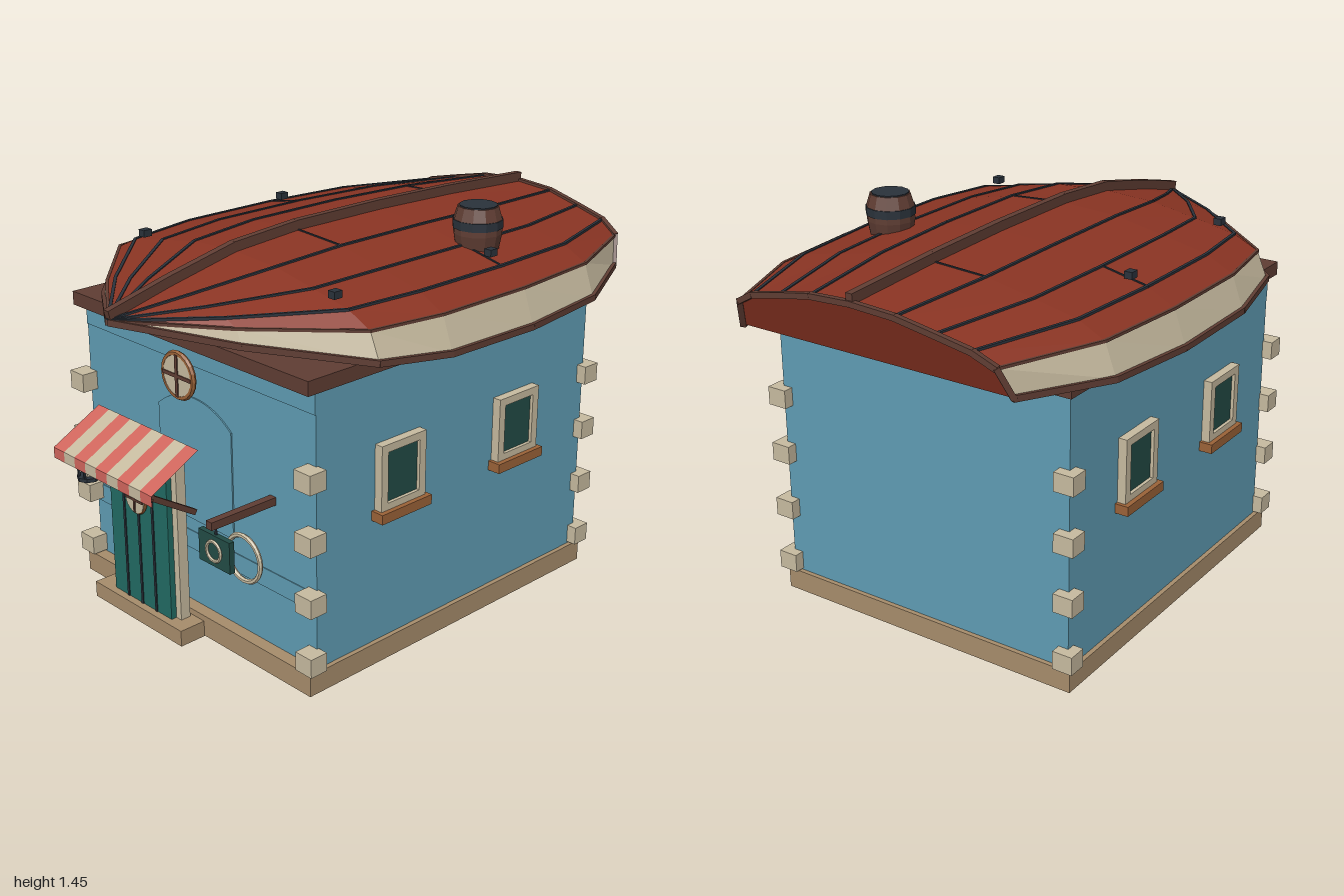
import * as THREE from 'three';

const mat = (name, color, side = THREE.FrontSide) => {
  const m = new THREE.MeshStandardMaterial({ color, side, flatShading: true });
  m.name = name;
  return m;
};
const M = {
  wall: mat('wall blue', 0x5f9cb3),
  red: mat('hull red', 0x8a3423, THREE.DoubleSide),
  cream: mat('cream', 0xc6ba9f, THREE.DoubleSide),
  tan: mat('stone tan', 0xa68c6b),
  brown: mat('dark wood', 0x5f3d33),
  orange: mat('light wood', 0x9a6238),
  teal: mat('door teal', 0x216a62),
  deep: mat('deep green', 0x224b45),
  salmon: mat('awning red', 0xcf655c, THREE.DoubleSide),
  slate: mat('slate', 0x2a323b),
};

function mesh(parent, name, geo, material, x = 0, y = 0, z = 0) {
  const m = new THREE.Mesh(geo, material);
  m.name = name;
  m.position.set(x, y, z);
  parent.add(m);
  return m;
}
// Box given by its extents on each axis
function box(parent, name, material, [x0, x1], [y0, y1], [z0, z1]) {
  return mesh(parent, name, new THREE.BoxGeometry(x1 - x0, y1 - y0, z1 - z0), material,
    (x0 + x1) / 2, (y0 + y1) / 2, (z0 + z1) / 2);
}
// Bar running from a to b
function beam(parent, name, material, a, b, w, h) {
  const m = mesh(parent, name, new THREE.BoxGeometry(w, h, a.distanceTo(b) + w * 0.3), material);
  m.position.copy(a).lerp(b, 0.5);
  m.lookAt(b);
  return m;
}
const V = (x, y, z) => new THREE.Vector3(x, y, z);

// Hull stations: z, half width, crown height, chine height, rim height
const STATIONS = [
  [-0.97, 0.545, 1.335, 1.225, 1.125], [-0.58, 0.7, 1.355, 1.225, 1.11],
  [-0.21, 0.735, 1.365, 1.225, 1.1], [0.19, 0.735, 1.365, 1.225, 1.105],
  [0.47, 0.685, 1.345, 1.225, 1.13], [0.75, 0.36, 1.285, 1.222, 1.17],
  [0.99, 0.004, 1.225, 1.222, 1.218],
];
const ACROSS = [0, 0.305, 0.565, 0.8, 0.94, 1];
const DROP = [0, 0.09, 0.36, 0.62, 1];

// Point of station k on row j, j from -5 (right rim) to 5 (left rim)
function hullPoint(k, j) {
  const [z, w, crown, chine, rim] = STATIONS[k], i = Math.abs(j);
  const y = i === 5 ? rim : crown + (chine - crown) * DROP[i];
  return V(Math.sign(j) * ACROSS[i] * w, y, k === 0 ? -0.99 + (1.335 - y) * 0.4 : z);
}
function hullSkin(j0, j1, flip = false) {
  const pos = [];
  const tri = (a, b, c) => (flip ? [a, c, b] : [a, b, c]).forEach(p => pos.push(p.x, p.y, p.z));
  for (let k = 0; k < STATIONS.length - 1; k++) {
    for (let j = j0; j < j1; j++) {
      const a = hullPoint(k, j), b = hullPoint(k + 1, j), c = hullPoint(k, j + 1), d = hullPoint(k + 1, j + 1);
      tri(a, b, c);
      tri(c, b, d);
    }
  }
  return toGeometry(pos);
}
function toGeometry(pos) {
  const g = new THREE.BufferGeometry();
  g.setAttribute('position', new THREE.Float32BufferAttribute(pos, 3));
  g.computeVertexNormals();
  return g;
}

function makeRoof() {
  const g = new THREE.Group();
  g.name = 'boatRoof';
  mesh(g, 'hullPlanks', hullSkin(-4, 4), M.red);
  for (const j of [-5, 4]) mesh(g, 'gunwaleStrake', hullSkin(j, j + 1), M.cream);
  mesh(g, 'hullInside', hullSkin(-5, 5, true), M.slate, 0, -0.006, 0);
  // Flat stern board
  const pos = [];
  for (let i = 0; i < 5; i++) {
    const a = hullPoint(0, -i), b = hullPoint(0, i), c = hullPoint(0, -i - 1), d = hullPoint(0, i + 1);
    for (const p of [a, b, c, b, d, c]) pos.push(p.x, p.y, p.z);
  }
  mesh(g, 'sternBoard', toGeometry(pos), M.red);
  // Keel, plank seams and rim rails follow the rows of the hull
  for (let k = 0; k < STATIONS.length - 1; k++) {
    const up = V(0, 0.012, 0);
    beam(g, 'keel', M.brown, hullPoint(k, 0).add(up), hullPoint(k + 1, 0).add(up), 0.026, 0.045);
    for (const s of [-1, 1]) {
      for (const i of [1, 2, 3])
        beam(g, 'plankSeam', M.slate, hullPoint(k, s * i), hullPoint(k + 1, s * i), 0.011, 0.01);
      beam(g, 'chineSeam', M.brown, hullPoint(k, s * 4), hullPoint(k + 1, s * 4), 0.01, 0.01);
      beam(g, 'rimRail', M.brown, hullPoint(k, s * 5), hullPoint(k + 1, s * 5), 0.018, 0.022);
    }
  }
  for (let j = -5; j < 5; j++)
    beam(g, 'sternTrim', M.brown, hullPoint(0, j), hullPoint(0, j + 1), 0.02, 0.02);
  // Butt joints: station, first row
  for (const [k, j] of [[1, -1], [3, 0], [2, -3], [2, 2]])
    beam(g, 'buttJoint', M.slate, hullPoint(k, j), hullPoint(k, j + 1), 0.007, 0.007);
  for (const s of [-1, 1]) {
    mesh(g, 'cleat', new THREE.BoxGeometry(0.03, 0.025, 0.035), M.slate, s * 0.53, 1.312, -0.22);
    mesh(g, 'cleat', new THREE.BoxGeometry(0.03, 0.025, 0.035), M.slate, s * 0.487, 1.308, 0.47);
  }
  // Barrel chimney
  const profile = [[0.075, 1.29], [0.086, 1.35], [0.086, 1.4], [0.072, 1.445], [0, 1.445]];
  mesh(g, 'chimneyBarrel', new THREE.LatheGeometry(profile.map(p => new THREE.Vector2(...p)), 12), M.brown, 0.42, 0, -0.275);
  mesh(g, 'chimneyBand', new THREE.CylinderGeometry(0.089, 0.089, 0.03, 12), M.slate, 0.42, 1.385, -0.275);
  mesh(g, 'chimneyTop', new THREE.CylinderGeometry(0.067, 0.067, 0.006, 12), M.slate, 0.42, 1.446, -0.275);
  return g;
}

// Round window with a cross
function porthole(parent, r, x, y, z) {
  const g = new THREE.Group();
  g.name = 'roundWindow';
  g.position.set(x, y, z);
  parent.add(g);
  mesh(g, 'pane', new THREE.CylinderGeometry(r * 0.9, r * 0.9, 0.016, 20), M.cream).rotation.x = Math.PI / 2;
  mesh(g, 'ring', new THREE.TorusGeometry(r * 0.89, r * 0.12, 6, 20), M.orange);
  mesh(g, 'crossUpright', new THREE.BoxGeometry(r * 0.15, r * 1.7, 0.024), M.brown);
  mesh(g, 'crossBar', new THREE.BoxGeometry(r * 1.7, r * 0.15, 0.024), M.brown);
}

function sideWindow(z, s) {
  const g = new THREE.Group();
  g.name = 'sideWindow';
  const shape = new THREE.Shape([[-0.104, -0.13], [0.104, -0.13], [0.104, 0.13], [-0.104, 0.13]].map(p => new THREE.Vector2(...p)));
  shape.holes.push(new THREE.Path([[-0.074, -0.08], [-0.074, 0.102], [0.074, 0.102], [0.074, -0.08]].map(p => new THREE.Vector2(...p))));
  mesh(g, 'frame', new THREE.ExtrudeGeometry(shape, { depth: 0.032, bevelEnabled: false }), M.cream);
  mesh(g, 'glass', new THREE.BoxGeometry(0.15, 0.19, 0.02), M.deep, 0, 0.01, 0.01);
  mesh(g, 'sill', new THREE.BoxGeometry(0.235, 0.035, 0.05), M.orange, 0, -0.122, 0.025);
  g.position.set(s * 0.6, 0.68, z);
  g.rotation.y = s * Math.PI / 2;
  return g;
}

function makeEntrance() {
  const g = new THREE.Group();
  g.name = 'entrance';
  box(g, 'step', M.tan, [-0.43, 0.07], [0, 0.06], [0.7, 0.81]);
  box(g, 'doorPost', M.cream, [-0.37, -0.343], [0.06, 0.68], [0.72, 0.76]);
  box(g, 'doorPost', M.cream, [-0.017, 0.01], [0.06, 0.68], [0.72, 0.76]);
  box(g, 'doorHead', M.cream, [-0.37, 0.01], [0.655, 0.68], [0.72, 0.76]);
  box(g, 'door', M.teal, [-0.343, -0.017], [0.06, 0.665], [0.752, 0.782]);
  for (const x of [-0.262, -0.18, -0.1]) box(g, 'doorGroove', M.slate, [x - 0.005, x + 0.005], [0.06, 0.66], [0.78, 0.786]);
  porthole(g, 0.057, -0.18, 0.475, 0.79);
  // Striped awning: sloping cloth and a short valance
  const w = 0.56 / 9;
  for (let i = 0; i < 9; i++) {
    const x = -0.46 + w * (i + 0.5), m = i % 2 ? M.cream : M.salmon;
    mesh(g, 'awningStripe', new THREE.PlaneGeometry(w, 0.226), m, x, 0.6775, 0.83).rotation.x = -Math.atan2(0.2, 0.105);
    mesh(g, 'valanceStripe', new THREE.PlaneGeometry(w, 0.04), m, x, 0.605, 0.93);
  }
  box(g, 'awningRod', M.brown, [-0.45, 0.09], [0.607, 0.622], [0.91, 0.925]);
  for (const x of [-0.44, 0.077]) beam(g, 'awningBrace', M.brown, V(x, 0.605, 0.91), V(x, 0.5, 0.74), 0.02, 0.02);
  return g;
}

function makeLantern() {
  const g = new THREE.Group();
  g.name = 'lantern';
  g.position.set(-0.433, 0.53, 0.81);
  mesh(g, 'lamp', new THREE.CylinderGeometry(0.02, 0.02, 0.08, 8), M.cream);
  for (const y of [-0.048, 0.048]) mesh(g, 'lanternCap', new THREE.CylinderGeometry(0.042, 0.042, 0.014, 8), M.slate, 0, y, 0);
  for (let i = 0; i < 6; i++) {
    const a = i * Math.PI / 3;
    mesh(g, 'lanternPost', new THREE.BoxGeometry(0.008, 0.09, 0.008), M.slate, 0.034 * Math.cos(a), 0, 0.034 * Math.sin(a));
  }
  return g;
}

function makeSign() {
  const g = new THREE.Group();
  g.name = 'hangingSign';
  box(g, 'signArm', M.brown, [0.38, 0.408], [0.612, 0.64], [0.66, 0.93]);
  box(g, 'signHanger', M.slate, [0.391, 0.397], [0.58, 0.615], [0.899, 0.905]);
  box(g, 'signBoard', M.deep, [0.318, 0.47], [0.475, 0.585], [0.892, 0.912]);
  mesh(g, 'signRing', new THREE.TorusGeometry(0.034, 0.006, 6, 18), M.cream, 0.394, 0.53, 0.914);
  mesh(g, 'ropeRing', new THREE.TorusGeometry(0.082, 0.009, 6, 24), M.cream, 0.335, 0.42, 0.74);
  return g;
}

export function createModel() {
  const root = new THREE.Group();
  root.name = 'boatRoofHouse';
  // Walls and footing
  box(root, 'walls', M.wall, [-0.6, 0.6], [0.05, 1.07], [-0.68, 0.66]);
  box(root, 'footing', M.tan, [-0.617, 0.617], [0.003, 0.082], [-0.697, 0.707]);
  box(root, 'floorUnderside', M.wall, [-0.61, 0.61], [0, 0.004], [-0.69, 0.7]);
  box(root, 'cornice', M.brown, [-0.615, 0.615], [1.063, 1.113], [-0.7, 0.706]);
  // Raised bands and arched panel on the front wall
  box(root, 'wallBand', M.wall, [-0.6, 0.6], [0.29, 0.36], [0.655, 0.663]);
  box(root, 'wallBand', M.wall, [-0.6, 0.6], [0.985, 1.065], [0.655, 0.663]);
  const arch = new THREE.Shape();
  arch.moveTo(-0.193, 0.41);
  arch.lineTo(0.193, 0.41);
  arch.lineTo(0.193, 0.8);
  arch.quadraticCurveTo(0.11, 0.87, 0, 0.87);
  arch.quadraticCurveTo(-0.11, 0.87, -0.193, 0.8);
  mesh(root, 'archedPanel', new THREE.ExtrudeGeometry(arch, { depth: 0.008, bevelEnabled: false }), M.wall, 0, 0, 0.657);
  // Corner stones and side windows, mirrored
  for (const s of [-1, 1]) {
    for (const z of [-0.683, 0.687])
      for (const y of [0.123, 0.34, 0.56, 0.777])
        mesh(root, 'cornerStone', new THREE.BoxGeometry(0.076, 0.068, 0.07), M.cream, s * 0.6, y, z);
    for (const z of [0.295, -0.285]) root.add(sideWindow(z, s));
  }
  porthole(root, 0.087, 0, 0.967, 0.722);
  root.add(makeEntrance(), makeLantern(), makeSign(), makeRoof());
  return root;
}
